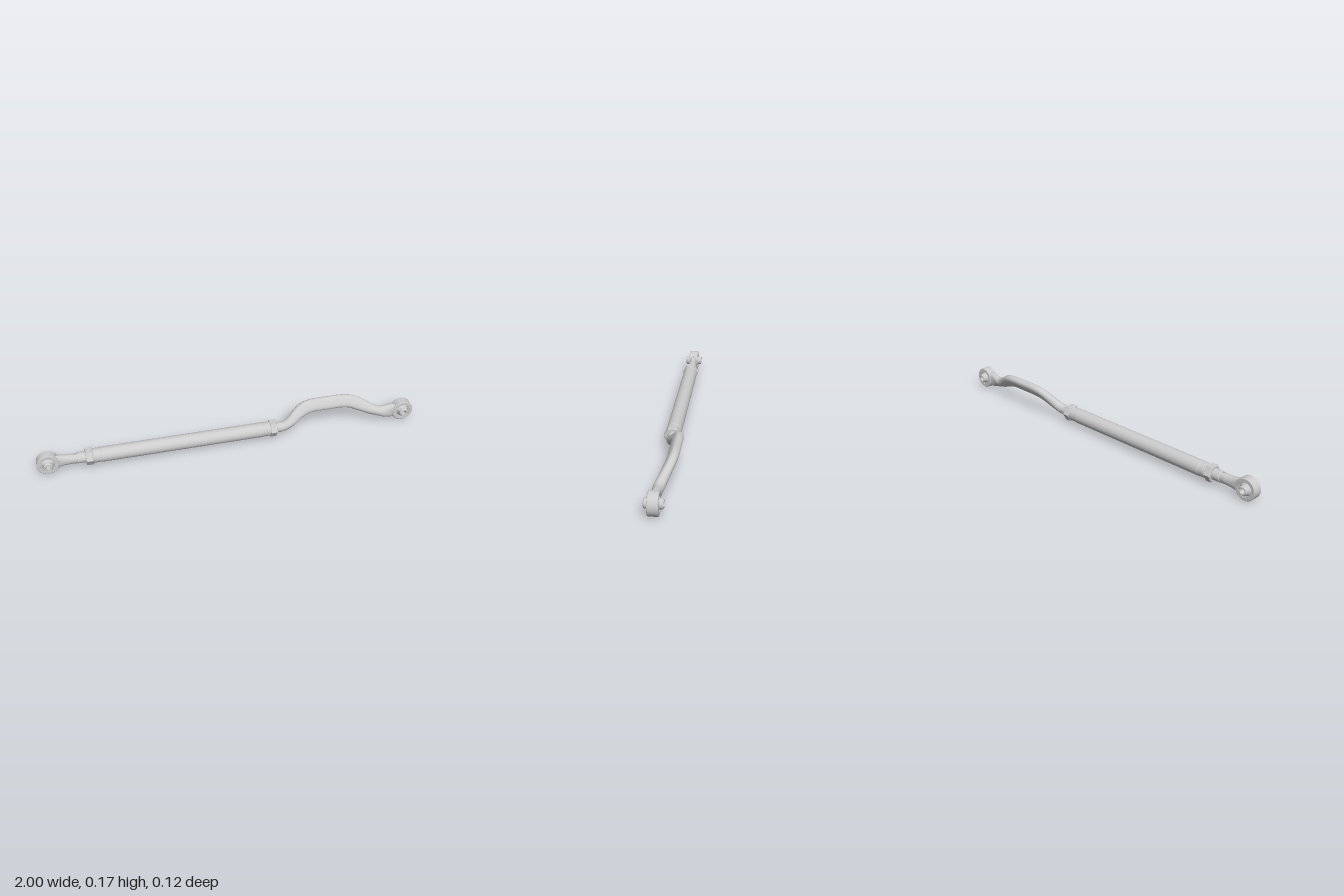
import * as THREE from 'three';

const Y = 0.056, Z = 0.015, EYE_X = 0.944;
const mat = new THREE.MeshStandardMaterial({ color: 0xcccccc, side: THREE.DoubleSide });

function part(name, geo, parent) {
  const m = new THREE.Mesh(geo, mat);
  m.name = name;
  parent.add(m);
  return m;
}

// Lathe with crisp edges: each profile segment gets its own smooth band
function turned(name, profile, parent, seg = 40) {
  const g = new THREE.Group();
  g.name = name;
  for (let i = 0; i < profile.length - 1; i++) {
    const pts = [profile[i], profile[i + 1]].map(([r, a]) => new THREE.Vector2(r, a));
    part(name + 'Band', new THREE.LatheGeometry(pts, seg), g);
  }
  parent.add(g);
  return g;
}

// Turned part lying along x
function alongX(name, profile, parent) {
  const g = turned(name, profile, parent);
  g.rotation.z = -Math.PI / 2;
  g.position.set(0, Y, Z);
  return g;
}

// Loft of superellipse sections {p, n, b, hn, hb, e} with capped ends
function loft(sections, seg = 32) {
  const pos = [], idx = [];
  const pw = (v, e) => Math.sign(v) * Math.pow(Math.abs(v), e);
  for (const s of sections) {
    for (let j = 0; j < seg; j++) {
      const t = (j / seg) * Math.PI * 2;
      const v = s.p.clone()
        .addScaledVector(s.n, s.hn * pw(Math.cos(t), s.e))
        .addScaledVector(s.b, s.hb * pw(Math.sin(t), s.e));
      pos.push(v.x, v.y, v.z);
    }
  }
  for (let i = 0; i < sections.length - 1; i++) {
    for (let j = 0; j < seg; j++) {
      const a = i * seg + j, b = i * seg + (j + 1) % seg;
      idx.push(a, b, a + seg, b, b + seg, a + seg);
    }
  }
  const last = (sections.length - 1) * seg;
  for (let j = 1; j < seg - 1; j++) idx.push(0, j + 1, j, last, last + j, last + j + 1);
  const g = new THREE.BufferGeometry();
  g.setAttribute('position', new THREE.Float32BufferAttribute(pos, 3));
  g.setIndex(idx);
  g.computeVertexNormals();
  return g;
}

// Rod eye: housing ring, retaining ring, ball and sleeve around the z axis
function rodEye(name, x, parent) {
  const eye = new THREE.Group();
  eye.name = name;
  turned('eyeHousing', [[0.039, -0.025], [0.053, -0.025], [0.056, -0.022],
    [0.056, 0.022], [0.053, 0.025], [0.039, 0.025], [0.039, -0.025]], eye, 48);
  for (const s of [-1, 1]) {
    turned('retainingRing', [[0.039, s * 0.021], [0.033, s * 0.021], [0.030, s * 0.016]], eye);
  }
  const ball = [];
  for (let i = 0; i <= 12; i++) {
    const a = THREE.MathUtils.lerp(-0.9, 0.9, i / 12);
    ball.push(new THREE.Vector2(0.037 * Math.cos(a), 0.037 * Math.sin(a)));
  }
  part('ball', new THREE.LatheGeometry(ball, 40), eye);
  turned('sleeve', [[0.014, -0.044], [0.020, -0.044], [0.024, -0.039], [0.024, 0.039],
    [0.020, 0.044], [0.014, 0.044], [0.014, -0.044]], eye);
  eye.rotation.x = Math.PI / 2;
  eye.position.set(x, Y, Z);
  parent.add(eye);
}

// Hexagonal lock nut with flats facing up and down
function lockNut(name, x, width, parent) {
  const r = 0.045, shape = new THREE.Shape();
  for (let i = 0; i < 6; i++) {
    const a = i * Math.PI / 3;
    shape[i ? 'lineTo' : 'moveTo'](r * Math.cos(a), r * Math.sin(a));
  }
  shape.closePath();
  const bevel = 0.003;
  const geo = new THREE.ExtrudeGeometry(shape, { depth: width - 2 * bevel,
    bevelThickness: bevel, bevelSize: bevel, bevelOffset: -bevel, bevelSegments: 1 });
  geo.translate(0, 0, -width / 2 + bevel);
  geo.rotateY(Math.PI / 2);
  part(name, geo, parent).position.set(x, Y, Z);
}

export function createModel() {
  const model = new THREE.Group();
  model.name = 'adjustableLinkRod';

  rodEye('rightRodEye', -EYE_X, model);
  rodEye('leftRodEye', EYE_X, model);

  // Main tube with chamfered ends
  alongX('mainTube', [[0.022, -0.72], [0.034, -0.72], [0.037, -0.715], [0.037, -0.68],
    [0.0385, -0.675], [0.0385, 0.165], [0.037, 0.17], [0.037, 0.205], [0.022, 0.205]], model);
  lockNut('rightLockNut', -0.737, 0.035, model);
  lockNut('leftLockNut', 0.222, 0.036, model);

  // Threaded studs
  alongX('rightStud', [[0, -0.80], [0.026, -0.80], [0.028, -0.796], [0.028, -0.70], [0, -0.70]], model);
  alongX('leftStud', [[0, 0.18], [0.027, 0.18], [0.027, 0.268], [0.025, 0.272]], model);

  // Straight shank blending from the stud into the right eye
  const up = new THREE.Vector3(0, 1, 0), front = new THREE.Vector3(0, 0, 1);
  const shank = [[-0.79, 0.027, 0.025, 1], [-0.83, 0.027, 0.023, 1], [-0.86, 0.028, 0.020, 0.85],
    [-0.885, 0.033, 0.019, 0.75], [-0.903, 0.039, 0.020, 0.7]];
  part('rightShank', loft(shank.reverse().map(([x, hn, hb, e]) =>
    ({ p: new THREE.Vector3(x, Y, Z), n: up, b: front, hn, hb, e }))), model);

  // Bent bar: swings up and back, flattened along its middle, ends at the left eye
  const lift = new THREE.Vector3(0, 0.85, -0.53).normalize();
  const side = new THREE.Vector3(1, 0, 0).cross(lift);
  const path = [[0.24, 0], [0.285, 0.002], [0.325, 0.021], [0.365, 0.053], [0.405, 0.077], [0.45, 0.087],
    [0.54, 0.088], [0.62, 0.087], [0.67, 0.077], [0.72, 0.052], [0.77, 0.024], [0.815, 0.006],
    [0.855, 0], [0.903, 0]];
  const curve = new THREE.CatmullRomCurve3(path.map(([x, o]) =>
    new THREE.Vector3(x, Y, Z).addScaledVector(lift, o)));
  const sections = [], smooth = THREE.MathUtils.smoothstep;
  for (let i = 0; i <= 80; i++) {
    const p = curve.getPointAt(i / 80), t = curve.getTangentAt(i / 80);
    const flat = smooth(p.x, 0.29, 0.42) * (1 - smooth(p.x, 0.68, 0.82));
    const eye = smooth(p.x, 0.80, 0.89);
    const n = side.clone().cross(t).normalize().lerp(up, eye).normalize();
    const b = t.clone().cross(n).normalize();
    sections.push({ p, n, b,
      hn: 0.026 + 0.009 * flat + 0.012 * eye,
      hb: 0.026 - 0.003 * flat - 0.005 * eye,
      e: 1 - 0.25 * flat - 0.25 * eye });
  }
  part('bentBar', loft(sections), model);

  return model;
}
